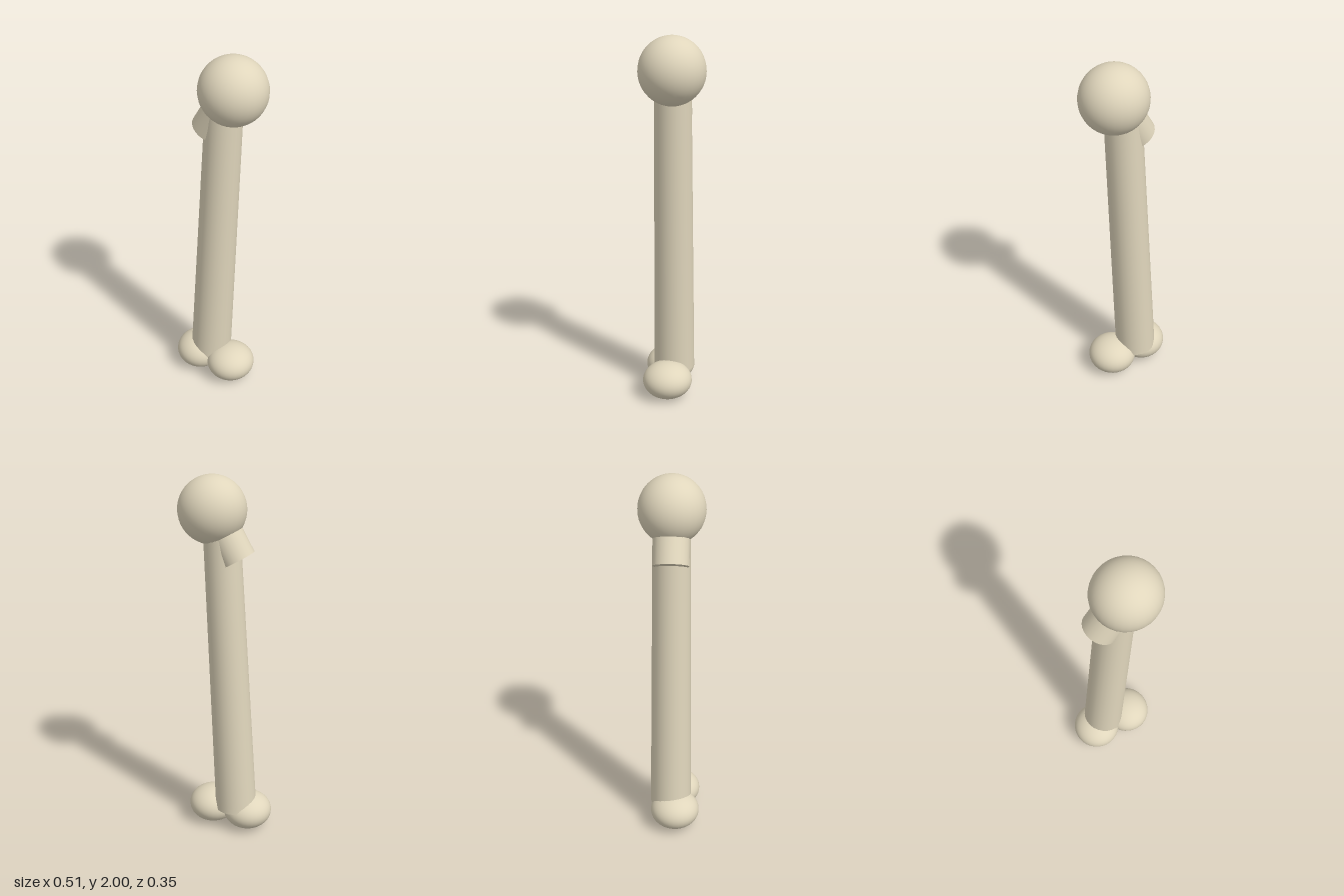
import * as THREE from 'three';

const bone = new THREE.MeshStandardMaterial({ color: 0xe0d6bc });
const UP = new THREE.Vector3(0, 1, 0);

// Closed tapered cylinder running from point a to point b
function rod(name, a, b, radiusA, radiusB) {
  const start = new THREE.Vector3(...a);
  const end = new THREE.Vector3(...b);
  const dir = end.clone().sub(start);
  const mesh = new THREE.Mesh(new THREE.CylinderGeometry(radiusB, radiusA, dir.length(), 24), bone);
  mesh.name = name;
  mesh.position.copy(start).lerp(end, 0.5);
  mesh.quaternion.setFromUnitVectors(UP, dir.normalize());
  return mesh;
}

// Ellipsoid with separate radii
function knob(name, center, radii) {
  const mesh = new THREE.Mesh(new THREE.SphereGeometry(1, 32, 24), bone);
  mesh.name = name;
  mesh.position.set(...center);
  mesh.scale.set(...radii);
  return mesh;
}

export function createModel() {
  const model = new THREE.Group();
  model.name = 'thighBone';

  // Long leaning shaft, slightly wider at the bottom
  model.add(rod('shaft', [-0.063, 0.13, 0], [0.024, 1.74, 0], 0.114, 0.096));

  // Ball head and the slanted neck that runs into its centre
  model.add(knob('head', [0.075, 1.823, 0], [0.178, 0.177, 0.174]));
  model.add(rod('neck', [-0.068, 1.575, 0], [0.073, 1.818, 0], 0.094, 0.094));

  // Pair of flattened knobs at the lower joint
  model.add(knob('leftCondyle', [0.087, 0.104, 0.025], [0.134, 0.101, 0.136]));
  model.add(knob('rightCondyle', [-0.122, 0.104, 0.025], [0.134, 0.101, 0.136]));

  return model;
}
